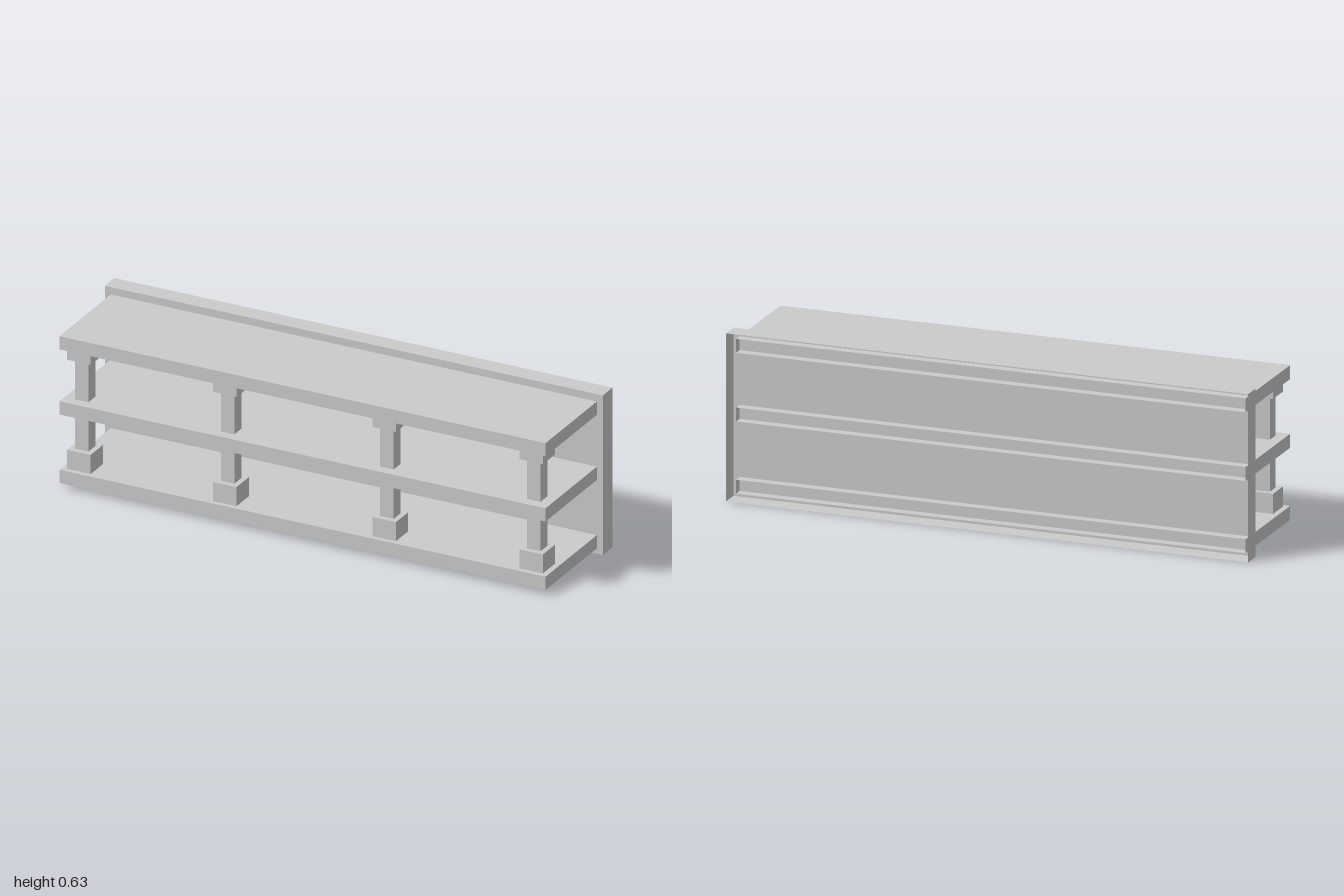
import * as THREE from 'three';

const solid = new THREE.MeshStandardMaterial({ color: 0xcccccc, flatShading: true });
const shell = new THREE.MeshStandardMaterial({ color: 0xcccccc, flatShading: true, side: THREE.DoubleSide });

// Box given by its width and its y and z limits; openBack leaves out the -z face
function box(name, width, [y0, y1], [z0, z1], openBack = false) {
  const geometry = new THREE.BoxGeometry(width, y1 - y0, z1 - z0);
  if (openBack) {
    geometry.setIndex(Array.from(geometry.index.array).slice(0, 30));
    geometry.clearGroups();
  }
  const mesh = new THREE.Mesh(geometry, openBack ? shell : solid);
  mesh.name = name;
  mesh.position.set(0, (y0 + y1) / 2, (z0 + z1) / 2);
  return mesh;
}

export function createModel() {
  const model = new THREE.Group();
  model.name = 'shelfUnit';

  // Hollow back panel, open at the rear
  model.add(box('backPanel', 2, [0, 0.627], [-0.235, -0.161], true));

  // Three shelves whose open rear ends reach into the hollow panel
  const shelves = { bottomShelf: [0.021, 0.073], middleShelf: [0.29, 0.342], topShelf: [0.546, 0.598] };
  for (const [name, heights] of Object.entries(shelves)) {
    model.add(box(name, 1.952, heights, [-0.197, 0.235], true));
  }

  // Four square columns along the front, each with a base block and a cap
  for (const x of [-0.908, -0.322, 0.318, 0.908]) {
    const column = new THREE.Group();
    column.name = 'column';
    column.position.x = x;
    column.add(
      box('columnBase', 0.094, [0.073, 0.148], [0.121, 0.216]),
      box('lowerPost', 0.054, [0.148, 0.29], [0.141, 0.195]),
      box('upperPost', 0.054, [0.342, 0.502], [0.141, 0.195]),
      box('columnCap', 0.094, [0.502, 0.546], [0.121, 0.216])
    );
    model.add(column);
  }
  return model;
}
